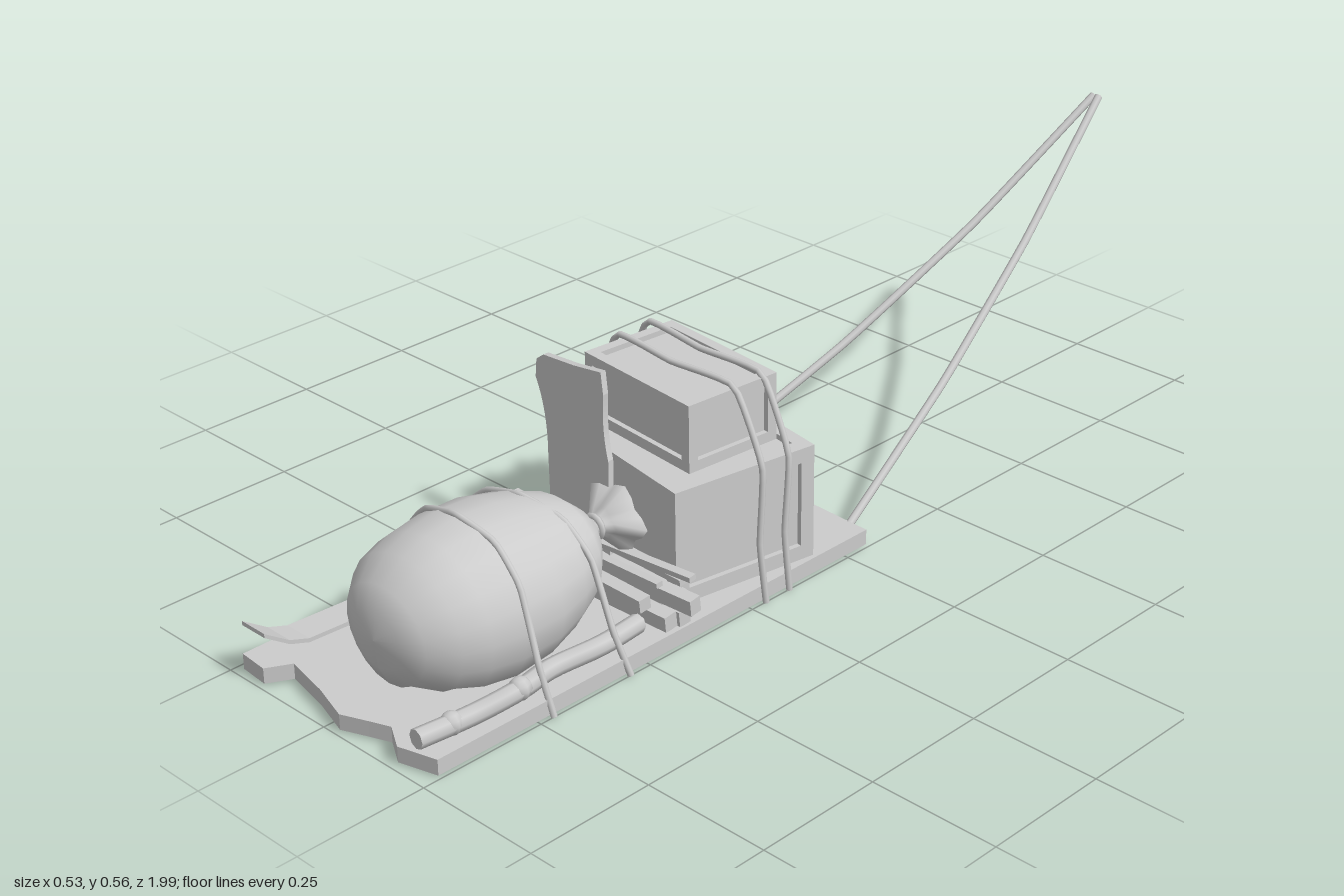
import * as THREE from 'three';

const grey = new THREE.MeshStandardMaterial({ color: 0xcccccc });
const flat = new THREE.MeshStandardMaterial({ color: 0xcccccc, flatShading: true, side: THREE.DoubleSide });
const smooth = new THREE.MeshStandardMaterial({ color: 0xcccccc, side: THREE.DoubleSide });

function add(parent, name, geometry, material = grey) {
  const mesh = new THREE.Mesh(geometry, material);
  mesh.name = name;
  parent.add(mesh);
  return mesh;
}

// Round cord through a list of points, closed with end discs
function cord(parent, name, points, radius, steps, tension = 0.2) {
  const group = new THREE.Group();
  group.name = name;
  parent.add(group);
  const curve = new THREE.CatmullRomCurve3(points.map(p => new THREE.Vector3(...p)), false, 'catmullrom', tension);
  add(group, name + 'Strand', new THREE.TubeGeometry(curve, steps, radius, 8), smooth);
  for (const t of [0, 1]) {
    const cap = add(group, name + 'End', new THREE.CircleGeometry(radius, 8), flat);
    cap.position.copy(curve.getPointAt(t));
    cap.lookAt(curve.getPointAt(t).add(curve.getTangentAt(t)));
  }
}

// Crate: recessed core with a bar on each of its twelve edges
function crate(parent, name, size, bar, position, turn) {
  const group = new THREE.Group();
  group.name = name;
  const inset = 0.01;
  add(group, name + 'Panels', new THREE.BoxGeometry(...size.map(s => s - 2 * inset)));
  for (let axis = 0; axis < 3; axis++) {
    const u = (axis + 1) % 3, v = (axis + 2) % 3;
    for (const su of [-1, 1]) for (const sv of [-1, 1]) {
      const dims = [bar, bar, bar], at = [0, 0, 0];
      dims[axis] = size[axis];
      at[u] = su * (size[u] - bar) / 2;
      at[v] = sv * (size[v] - bar) / 2;
      add(group, name + 'Frame', new THREE.BoxGeometry(...dims)).position.set(...at);
    }
  }
  group.position.set(...position);
  group.rotation.y = turn;
  parent.add(group);
}

export function createModel() {
  const model = new THREE.Group();
  model.name = 'loadedSled';

  // Sled board with ragged ends, drawn as (x, -z)
  const outline = [
    [-0.232, -0.985], [-0.17, -0.99], [-0.145, -0.945], [-0.05, -0.965], [0.03, -0.99], [0.08, -0.97],
    [0.12, -0.955], [0.17, -0.985], [0.245, -0.965], [0.245, 0.055], [0.09, 0.06], [0.04, 0.04],
    [-0.02, 0.03], [-0.1, 0.035], [-0.17, 0.05], [-0.232, 0.055],
  ];
  const boardShape = new THREE.Shape(outline.map(p => new THREE.Vector2(...p)));
  const board = new THREE.ExtrudeGeometry(boardShape, { depth: 0.03, bevelEnabled: false });
  board.rotateX(-Math.PI / 2).translate(0, 0.006, 0);
  add(model, 'board', board);

  // Stacked crates
  crate(model, 'lowerCrate', [0.385, 0.222, 0.3], 0.028, [0.022, 0.147, 0.195], -0.165);
  crate(model, 'upperCrate', [0.285, 0.13, 0.2], 0.02, [0.022, 0.323, 0.195], -0.09);

  // Sack: swept round sections [z, relative radius], resting flat on the board, drawn to a tied neck
  const sections = [
    [0.902, 0.001], [0.895, 0.35], [0.875, 0.6], [0.83, 0.84], [0.78, 0.95], [0.715, 1], [0.63, 0.97],
    [0.57, 0.86], [0.52, 0.68], [0.485, 0.4], [0.462, 0.14], [0.45, 0.11], [0.435, 0.19], [0.4, 0.4], [0.41, 0.1],
  ];
  const sack = new THREE.LatheGeometry(sections.map(([z, r]) => new THREE.Vector2(r, z)), 20);
  sack.rotateX(Math.PI / 2);
  const p = sack.attributes.position;
  for (let i = 0; i < p.count; i++) {
    const z = p.getZ(i);
    const pull = THREE.MathUtils.clamp((0.6 - z) / 0.15, 0, 1);
    const angle = Math.atan2(p.getY(i), p.getX(i));
    const pleat = z < 0.44 ? 1 + 0.15 * Math.cos(5 * angle) : 1 + 0.015 * Math.cos(3 * angle + z * 20);
    p.setX(i, 0.018 + 0.05 * pull + p.getX(i) * 0.168 * pleat);
    p.setY(i, Math.max(0.036, 0.13 + 0.05 * pull + p.getY(i) * 0.153 * pleat));
  }
  sack.computeVertexNormals();
  add(model, 'sack', sack, smooth);
  const tie = add(model, 'sackTie', new THREE.TorusGeometry(0.02, 0.006, 6, 12), smooth);
  tie.position.set(0.068, 0.18, 0.452);

  // Waisted sheet standing between the crates and the sack
  const sheetShape = new THREE.Shape();
  sheetShape.moveTo(-0.15, 0.05);
  sheetShape.lineTo(-0.162, 0.2);
  sheetShape.quadraticCurveTo(-0.165, 0.28, -0.2, 0.335);
  sheetShape.lineTo(-0.198, 0.37);
  sheetShape.lineTo(-0.178, 0.385);
  sheetShape.lineTo(-0.09, 0.396);
  sheetShape.lineTo(-0.015, 0.41);
  sheetShape.lineTo(-0.007, 0.37);
  sheetShape.quadraticCurveTo(-0.01, 0.3, 0.01, 0.25);
  sheetShape.lineTo(0.02, 0.05);
  const sheet = new THREE.ExtrudeGeometry(sheetShape, { depth: 0.012, bevelEnabled: false });
  const q = sheet.attributes.position;
  for (let i = 0; i < q.count; i++) {
    q.setZ(i, q.getZ(i) + 0.342 + 0.1 * (q.getX(i) + 0.09) - 0.05 * (q.getY(i) - 0.2));
  }
  sheet.computeVertexNormals();
  add(model, 'standingSheet', sheet, flat);

  // Firewood laid across the board: [length, height, depth, x, y, z, yaw, roll]
  const firewood = [
    [0.5, 0.03, 0.028, -0.015, 0.051, 0.44, 0.02, 0],
    [0.46, 0.03, 0.025, 0.01, 0.052, 0.4, -0.03, 0],
    [0.46, 0.03, 0.025, 0.038, 0.084, 0.42, 0.05, 0],
    [0.44, 0.025, 0.025, -0.02, 0.082, 0.455, -0.03, 0.01],
    [0.46, 0.012, 0.02, 0, 0.108, 0.385, -0.05, 0.03],
    [0.49, 0.01, 0.016, 0.01, 0.118, 0.41, 0.04, 0.05],
    [0.48, 0.01, 0.014, -0.02, 0.112, 0.44, -0.02, 0.05],
    [0.44, 0.03, 0.02, -0.02, 0.055, 0.37, 0, 0],
  ];
  for (const [w, h, d, x, y, z, yaw, roll] of firewood) {
    const stick = add(model, 'firewood', new THREE.BoxGeometry(w, h, d));
    stick.position.set(x, y, z);
    stick.rotation.set(0.1, yaw, roll);
  }

  // Thin strip along the right edge, curling up at the front
  const stripPath = [[0.47, 0.04], [0.6, 0.05], [0.75, 0.045], [0.9, 0.052], [0.94, 0.066], [0.99, 0.1]];
  const stripShape = new THREE.Shape();
  stripPath.forEach(([z, y], i) => i ? stripShape.lineTo(z, y) : stripShape.moveTo(z, y));
  [...stripPath].reverse().forEach(([z, y]) => stripShape.lineTo(z, y + 0.008));
  const strip = new THREE.ExtrudeGeometry(stripShape, { depth: 0.06, bevelEnabled: false });
  strip.rotateY(-Math.PI / 2).translate(-0.158, 0, 0);
  add(model, 'curledStrip', strip);

  // Crooked branch along the left edge
  cord(model, 'branch', [[0.2, 0.055, 0.48], [0.215, 0.062, 0.58], [0.2, 0.056, 0.68], [0.225, 0.068, 0.77],
    [0.21, 0.055, 0.86], [0.2, 0.056, 0.97]], 0.018, 24, 0.5);
  for (const [x, y, z, r] of [[0.225, 0.07, 0.77, 0.021], [0.205, 0.056, 0.9, 0.021]]) {
    add(model, 'branchKnot', new THREE.SphereGeometry(r, 8, 6), smooth).position.set(x, y, z);
  }

  // Lashings over the crates
  for (const [z0, z1] of [[0.11, 0.16], [0.195, 0.22]]) {
    const path = [[-0.237, 0.005], [-0.222, 0.11], [-0.19, 0.262], [-0.128, 0.396], [0.02, 0.395],
      [0.165, 0.394], [0.236, 0.262], [0.242, 0.12], [0.253, 0.005]];
    cord(model, 'crateLashing', path.map(([x, y], i) => [x, y, z0 + (z1 - z0) * i / 8 + 0.006 * Math.sin(i * 2)]), 0.006, 48);
  }

  // Lashings over the sack
  for (const [z0, z1, s] of [[0.57, 0.55, 0.93], [0.68, 0.725, 1]]) {
    const path = [[-0.235, 0.005], [-0.215, 0.08], [-0.13, 0.212], [-0.08, 0.257], [0.012, 0.287], [0.1, 0.266],
      [0.165, 0.21], [0.225, 0.09], [0.252, 0.005]];
    cord(model, 'sackLashing', path.map(([x, y], i) => [x, y * s, z0 + (z1 - z0) * i / 8 + 0.008 * Math.sin(i * 2)]), 0.006, 48);
  }

  // Pair of pull ropes meeting behind the sled
  for (const side of [-1, 1]) {
    const path = [[0.188, 0.026, -0.05], [0.125, 0.18, -0.39], [0.065, 0.355, -0.7], [0.006, 0.56, -0.995]];
    cord(model, 'pullRope', path.map(([x, y, z]) => [0.015 + side * x, y, z]), 0.008, 24);
  }
  return model;
}
